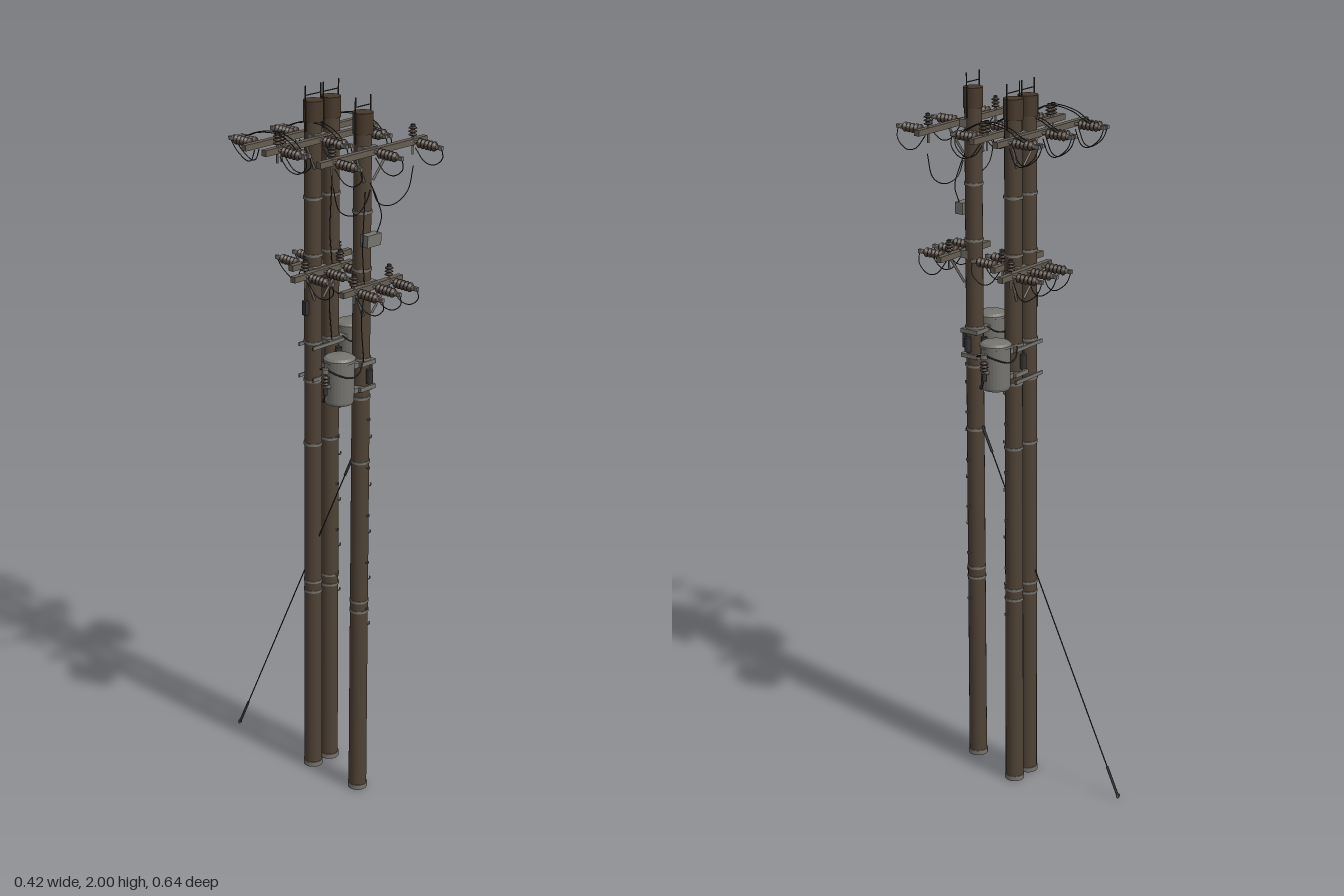
import * as THREE from 'three';

const mat = (name, color) => {
  const m = new THREE.MeshStandardMaterial({ color });
  m.name = name;
  return m;
};

export function createModel() {
  const wood = mat('dark timber', 0x4f4235);
  const cap = mat('rust brown cap', 0x47382a);
  const steel = mat('galvanised steel', 0x77736d);
  const armSteel = mat('weathered arm steel', 0x655d52);
  const tankGrey = mat('tank grey', 0x75746f);
  const porcelain = mat('brown porcelain', 0x43372f);
  const dark = mat('dark metal', 0x343231);
  const V = (x, y, z) => new THREE.Vector3(x, y, z);
  const root = new THREE.Group();
  root.name = 'utilityPoles';

  const add = (parent, name, geo, material, x = 0, y = 0, z = 0) => {
    const m = new THREE.Mesh(geo, material);
    m.name = name;
    m.position.set(x, y, z);
    parent.add(m);
    return m;
  };
  const box = (p, name, m, w, h, d, x, y, z) => add(p, name, new THREE.BoxGeometry(w, h, d), m, x, y, z);
  const cyl = (p, name, m, r, h, x, y, z, seg = 12, rTop = r) =>
    add(p, name, new THREE.CylinderGeometry(rTop, r, h, seg), m, x, y, z);
  // Straight round bar between two points
  const rod = (p, name, m, a, b, r) => {
    const d = b.clone().sub(a);
    const mesh = add(p, name, new THREE.CylinderGeometry(r, r, d.length(), 6), m);
    mesh.position.copy(a).add(b).multiplyScalar(0.5);
    mesh.quaternion.setFromUnitVectors(V(0, 1, 0), d.normalize());
    return mesh;
  };
  const wire = (p, name, pts, r = 0.0014) =>
    add(p, name, new THREE.TubeGeometry(new THREE.CatmullRomCurve3(pts), 20, r, 5), dark);
  const group = (name, x, y, z, parent = root) => {
    const g = new THREE.Group();
    g.name = name;
    g.position.set(x, y, z);
    parent.add(g);
    return g;
  };

  // Lathe with a row of flared sheds, running up the y axis
  const shedGeometry = (count, pitch, r) => {
    const pts = [new THREE.Vector2(0, 0)];
    for (let i = 0; i < count; i++) {
      const y = i * pitch;
      pts.push(new THREE.Vector2(0.0055, y), new THREE.Vector2(r, y + pitch * 0.3),
        new THREE.Vector2(r * 0.9, y + pitch * 0.5), new THREE.Vector2(0.0055, y + pitch * 0.75));
    }
    pts.push(new THREE.Vector2(0.0055, count * pitch), new THREE.Vector2(0, count * pitch));
    return new THREE.LatheGeometry(pts, 12);
  };
  const strainGeo = shedGeometry(5, 0.0125, 0.0135);
  const pinGeo = shedGeometry(3, 0.009, 0.0115);

  // Poles with bands, base shoe, cap and lightning rods
  const pole = (name, x, z) => {
    const g = group(name, x, 0, z);
    cyl(g, 'poleShaft', wood, 0.0255, 1.955, 0, 0.9775, 0, 20, 0.0235);
    cyl(g, 'baseShoe', steel, 0.0275, 0.014, 0, 0.007, 0, 20);
    cyl(g, 'poleCap', cap, 0.0268, 0.055, 0, 1.932, 0, 20);
    for (const y of [0.56, 0.59, 1.005, 1.19, 1.3, 1.545, 1.7]) cyl(g, 'band', steel, 0.0266, 0.007, 0, y, 0, 20);
    for (const s of [-1, 1]) rod(g, 'lightningRod', dark, V(s * 0.0275, 1.88, 0), V(s * 0.0275, 2, 0), 0.002);
    rod(g, 'rodTie', dark, V(-0.0275, 1.975, 0), V(0.0275, 1.975, 0), 0.0015);
    return g;
  };
  const poleA = pole('frontPole', 0, 0.18);
  const poleB = pole('middlePole', 0, 0);
  const poleC = pole('sidePole', 0.065, 0);

  // Climbing steps, alternating sides
  const steps = (p, first) => {
    for (let i = 0; i < 11; i++) {
      const y = first + i * 0.07;
      const even = i % 2 === 0;
      const a = even ? V(0.022, y, 0) : V(0, y, 0.022);
      const b = even ? V(0.042, y, 0) : V(0, y, 0.034);
      rod(p, 'climbingStep', steel, a, b, 0.002);
      rod(p, 'stepTip', steel, b, b.clone().add(V(0, 0.007, 0)), 0.002);
    }
  };
  steps(poleA, 0.5);
  steps(poleC, 0.52);

  // Strain insulator pointing along dir (+1 front, -1 back), with jumper loop
  const strain = (p, x, y, z, dir) => {
    const g = group('strainInsulator', x, y, z, p);
    g.rotation.x = dir * Math.PI / 2;
    cyl(g, 'clevis', steel, 0.004, 0.02, 0, 0.008, 0, 8);
    add(g, 'sheds', strainGeo, porcelain, 0, 0.013, 0);
    cyl(g, 'neck', steel, 0.0065, 0.009, 0, 0.08, 0, 10);
    box(g, 'lineClamp', steel, 0.009, 0.014, 0.01, 0, 0.088, 0);
    wire(p, 'jumperLoop', [V(x, y, z + dir * 0.092), V(x + 0.012, y - 0.03, z + dir * 0.085),
      V(x + 0.016, y - 0.055, z + dir * 0.05), V(x + 0.01, y - 0.05, z + dir * 0.025), V(x, y - 0.015, z)]);
  };
  const pin = (p, x, y, z) => {
    const g = group('pinInsulator', x, y, z, p);
    cyl(g, 'pin', steel, 0.003, 0.06, 0, -0.012, 0, 8);
    add(g, 'sheds', pinGeo, porcelain, 0, 0.006, 0);
    cyl(g, 'cap', dark, 0.006, 0.006, 0, 0.034, 0, 10);
  };

  // Crossarm with braces, clamp and insulators
  const crossarm = (name, x0, x1, y, z, poleX, poleZ, xs, pins) => {
    const g = group(name, 0, 0, 0);
    const dir = Math.sign(z - poleZ);
    box(g, 'arm', armSteel, x1 - x0, 0.016, 0.016, (x0 + x1) / 2, y, z);
    box(g, 'armClamp', steel, 0.046, 0.022, 0.026, poleX, y, poleZ + dir * 0.019);
    for (const s of [-1, 1]) {
      rod(g, 'brace', steel, V(poleX + s * 0.016, y - 0.08, poleZ + dir * 0.022), V(poleX + s * 0.062, y - 0.003, z), 0.0035);
    }
    for (const x of xs) strain(g, x, y, z + dir * 0.009, dir);
    for (const x of pins) pin(g, x, y + 0.008, z);
  };
  const pairs = [-0.163, -0.147, -0.015, 0, 0.13, 0.147];
  crossarm('upperFrontArm', -0.195, 0.195, 1.863, 0.216, 0, 0.18, [-0.147, 0, 0.147], [-0.147, 0.147]);
  crossarm('upperMiddleArm', -0.21, 0.195, 1.863, 0.036, 0, 0, pairs, [-0.163, -0.147, 0.13, 0.147]);
  crossarm('upperBackArm', -0.21, 0.195, 1.863, -0.039, 0.065, 0, pairs, []);
  crossarm('lowerFrontArm', -0.11, 0.11, 1.505, 0.216, 0, 0.18, [-0.065, 0, 0.065], [-0.065, 0.065]);
  crossarm('lowerMiddleArm', -0.11, 0.11, 1.505, 0.036, 0, 0, [-0.065, 0, 0.065], [-0.065, 0.065]);
  crossarm('lowerBackArm', -0.045, 0.178, 1.505, -0.039, 0.065, 0, [0, 0.065, 0.13], [0.13]);

  // Jumpers passing over the paired upper arms, and low sagging leads
  for (const x of pairs) {
    wire(root, 'armJumper', [V(x, 1.86, 0.12), V(x + 0.008, 1.885, 0.08), V(x, 1.904, 0.036),
      V(x, 1.895, -0.039), V(x + 0.01, 1.88, -0.08), V(x, 1.86, -0.12)]);
  }
  wire(root, 'saggingLead', [V(-0.147, 1.8, 0.22), V(-0.12, 1.73, 0.218), V(-0.06, 1.708, 0.216),
    V(-0.02, 1.73, 0.212), V(0, 1.76, 0.208)]);
  wire(root, 'saggingLead', [V(0.147, 1.8, 0.22), V(0.13, 1.735, 0.217), V(0.08, 1.708, 0.214),
    V(0.03, 1.72, 0.21), V(0.01, 1.76, 0.207)]);
  for (const [x, z] of [[-0.02, 0.21], [0.045, 0.026]]) {
    wire(root, 'downLead', [V(x, 1.76, z), V(x - 0.008, 1.6, z), V(x, 1.5, z), V(x - 0.01, 1.42, z), V(x, 1.3, z)]);
  }

  // Junction box on the front pole
  box(poleA, 'junctionBox', tankGrey, 0.05, 0.032, 0.026, 0, 1.63, 0.032);
  wire(poleA, 'boxLead', [V(0.018, 1.645, 0.036), V(0.025, 1.69, 0.045), V(0.015, 1.74, 0.036), V(0, 1.78, 0.028)]);

  // Pole-mounted transformers, tank on the +x side of the group
  const transformer = (name, x, z, side) => {
    const g = group(name, x, 0, z);
    g.rotation.y = side < 0 ? Math.PI : 0;
    const pts = [[0, 1.195], [0.037, 1.195], [0.039, 1.202], [0.04, 1.31], [0.043, 1.311], [0.043, 1.318],
      [0.036, 1.324], [0, 1.329]].map(([r, y]) => new THREE.Vector2(r, y));
    const tank = new THREE.LatheGeometry(pts, 28).toNonIndexed();
    tank.computeVertexNormals();
    add(g, 'tank', tank, tankGrey, 0.08, 0, 0);
    for (const y of [1.22, 1.29]) {
      box(g, 'mountBracket', steel, 0.03, 0.014, 0.04, 0.03, y, 0);
      box(g, 'poleBracket', steel, 0.056, 0.012, 0.056, 0, y, 0);
    }
    cyl(g, 'bushingBase', steel, 0.007, 0.03, 0.122, 1.25, 0, 10).rotation.z = -1.2;
    add(g, 'bushing', pinGeo, porcelain, 0.132, 1.255, 0);
    cyl(g, 'bushingTip', steel, 0.009, 0.012, 0.132, 1.295, 0, 10);
    cyl(g, 'bushingFoot', dark, 0.006, 0.03, 0.132, 1.243, 0, 10);
    for (const s of [-1, 1]) {
      wire(g, 'tankLead', [V(0.132, 1.3, 0), V(0.122, 1.29, s * 0.03), V(0.085, 1.275, s * 0.047),
        V(0.045, 1.28, s * 0.04), V(0.02, 1.3, s * 0.026)], 0.002);
    }
    wire(g, 'lowerLead', [V(0.132, 1.235, 0), V(0.128, 1.205, 0.01), V(0.105, 1.198, 0.034),
      V(0.06, 1.21, 0.04), V(0.02, 1.225, 0.026)], 0.002);
    // Small fuse holders around the pole
    for (const [fx, fz] of [[0, 0.032], [-0.032, 0], [0, -0.032]]) {
      cyl(g, 'fuseHolder', dark, 0.009, 0.04, fx, 1.255, fz, 8);
    }
  };
  transformer('rightTransformer', 0, 0.18, -1);
  transformer('leftTransformer', 0.065, 0, 1);

  // Braces tying the two rear poles together
  for (const y of [1.2, 1.29]) for (const z of [-0.027, 0.027]) box(root, 'poleTie', steel, 0.12, 0.01, 0.004, 0.0325, y, z);
  box(poleB, 'sideClip', dark, 0.014, 0.04, 0.014, -0.028, 1.4, 0);

  // Guy wire with end fittings
  const top = V(0, 1.015, 0.156), foot = V(0, 0.01, -0.312);
  const at = (t) => top.clone().lerp(foot, t);
  rod(root, 'guyWire', dark, top, foot, 0.0018);
  rod(root, 'guyTopGrip', dark, at(0), at(0.07), 0.004);
  rod(root, 'guyAnchorGrip', dark, at(0.92), at(1), 0.004);
  add(root, 'guyAnchorEye', new THREE.TorusGeometry(0.006, 0.002, 6, 12), steel, 0, 0.01, -0.313);
  return root;
}
